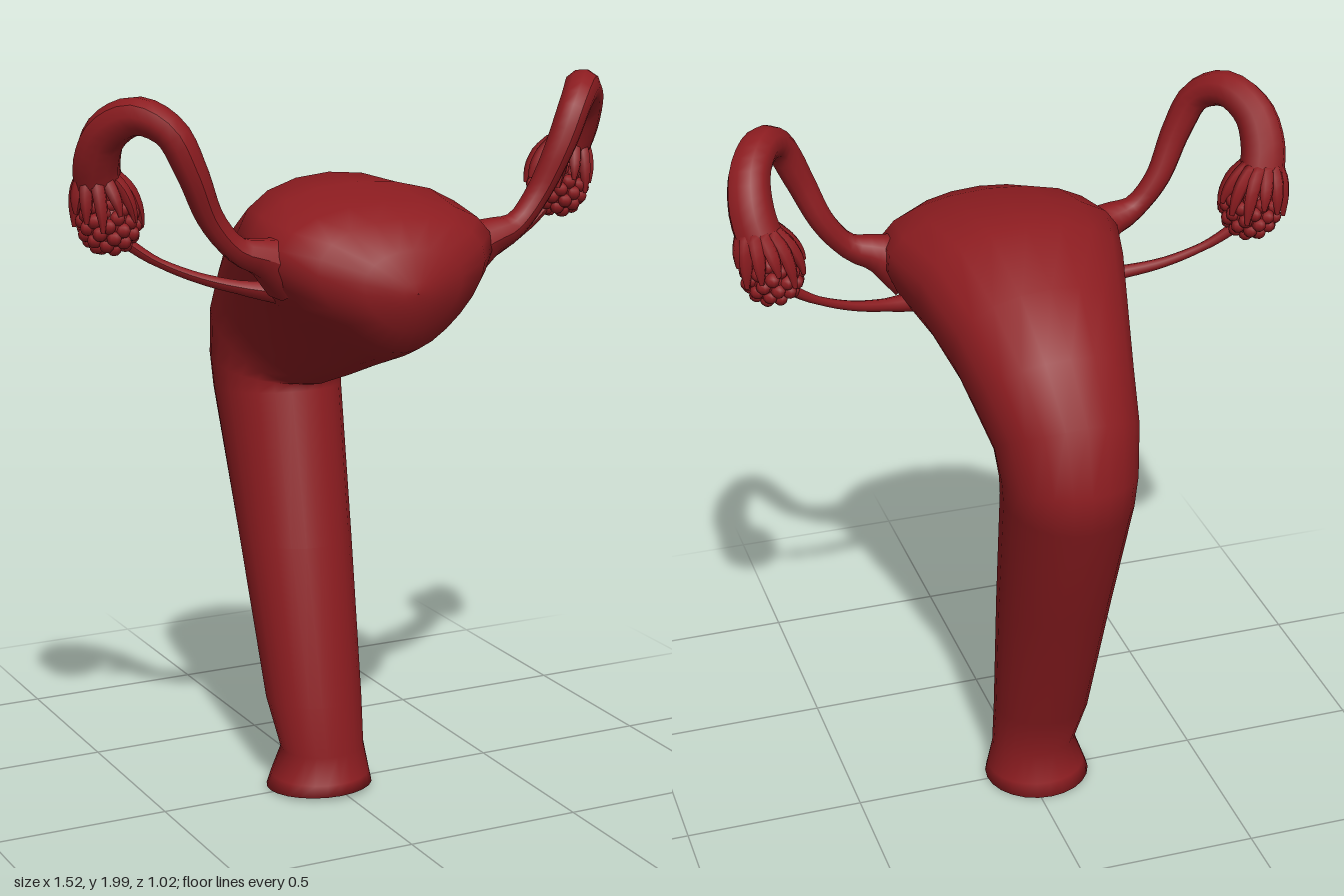
import * as THREE from 'three';

const material = new THREE.MeshStandardMaterial({ color: 0x8c1c20, roughness: 0.8, side: THREE.DoubleSide });

function add(parent, name, geometry) {
  const mesh = new THREE.Mesh(geometry, material);
  mesh.name = name;
  parent.add(mesh);
  return mesh;
}

// Body cross-sections: inner edge z, y; outer edge z, y; centre x; half width; flare toward outer edge
const BODY = [
  [-0.03, 0.55, -0.17, 0.55, -0.03, 0.05, 0],
  [0.07, 0.13, -0.07, 0.13, -0.02, 0.09, 0],
  [0.115, 0.025, -0.115, 0.015, -0.03, 0.125, 0],
  [0.14, 0.02, -0.14, 0.008, -0.03, 0.15, 0],
  [0.13, 0.05, -0.13, 0.05, -0.027, 0.14, 0],
  [0.10, 0.12, -0.10, 0.13, -0.02, 0.12, 0],
  [0.105, 0.27, -0.155, 0.27, -0.035, 0.135, 0],
  [0.0, 0.7, -0.325, 0.7, -0.025, 0.157, 0],
  [-0.10, 1.12, -0.495, 1.08, -0.015, 0.175, 0],
  [-0.11, 1.14, -0.508, 1.2, -0.012, 0.18, 0.05],
  [-0.09, 1.14, -0.465, 1.38, -0.01, 0.19, 0.15],
  [-0.05, 1.15, -0.36, 1.53, 0, 0.21, 0.25],
  [0.02, 1.175, -0.2, 1.65, 0, 0.24, 0.35],
  [0.12, 1.21, 0.0, 1.74, 0, 0.285, 0.45],
  [0.25, 1.26, 0.17, 1.738, 0, 0.325, 0.5],
  [0.36, 1.30, 0.33, 1.71, 0, 0.31, 0.45],
  [0.44, 1.335, 0.42, 1.68, 0, 0.24, 0.35],
  [0.49, 1.40, 0.485, 1.61, 0, 0.14, 0.2],
  [0.51, 1.47, 0.51, 1.53, 0, 0.04, 0],
  [0.512, 1.5, 0.512, 1.502, 0, 0.001, 0],
];

function bodyGeometry(sides = 24) {
  const positions = [], index = [];
  BODY.forEach(([az, ay, bz, by, cx, width, flare], i) => {
    // Scale so the flared section keeps its stated half width
    let peak = 0;
    for (let t = 0; t < Math.PI; t += 0.05) peak = Math.max(peak, Math.sin(t) * (1 + flare * Math.cos(t)));
    for (let j = 0; j < sides; j++) {
      const t = j / sides * Math.PI * 2, c = Math.cos(t);
      const f = (c + 1) / 2;
      positions.push(cx + width * Math.sin(t) * (1 + flare * c) / peak, ay + (by - ay) * f, az + (bz - az) * f);
      if (i < BODY.length - 1) {
        const a = i * sides + j, b = i * sides + (j + 1) % sides;
        index.push(a, a + sides, b, b, a + sides, b + sides);
      }
    }
  });
  const geometry = new THREE.BufferGeometry();
  geometry.setAttribute('position', new THREE.Float32BufferAttribute(positions, 3));
  geometry.setIndex(index);
  geometry.computeVertexNormals();
  return geometry;
}

// Tube whose radius follows a list of values along its length
function taperedTube(points, radii, steps = 32, sides = 10) {
  const curve = new THREE.CatmullRomCurve3(points.map(p => new THREE.Vector3(...p)));
  const geometry = new THREE.TubeGeometry(curve, steps, 1, sides);
  const position = geometry.attributes.position, v = new THREE.Vector3();
  for (let i = 0; i <= steps; i++) {
    const u = i / steps, centre = curve.getPointAt(u);
    const s = u * (radii.length - 1), k = Math.min(Math.floor(s), radii.length - 2);
    const radius = THREE.MathUtils.lerp(radii[k], radii[k + 1], s - k);
    for (let j = 0; j <= sides; j++) {
      const n = i * (sides + 1) + j;
      v.fromBufferAttribute(position, n).sub(centre).multiplyScalar(radius).add(centre);
      position.setXYZ(n, v.x, v.y, v.z);
    }
  }
  geometry.computeVertexNormals();
  return geometry;
}

function createSide(side) {
  const group = new THREE.Group();
  group.name = side > 0 ? 'leftAppendage' : 'rightAppendage';
  const flip = points => points.map(([x, y, z]) => [x * side, y, z]);

  // Arched tube from the upper corner of the body over to the ovary
  add(group, 'uterineTube', taperedTube(flip([
    [0.25, 1.55, 0.27], [0.33, 1.585, 0.29], [0.40, 1.61, 0.295], [0.47, 1.69, 0.295], [0.53, 1.82, 0.31],
    [0.58, 1.92, 0.295], [0.64, 1.955, 0.23], [0.69, 1.91, 0.155], [0.70, 1.83, 0.105], [0.685, 1.755, 0.075],
  ]), [0.09, 0.05, 0.032, 0.034, 0.038, 0.042, 0.044, 0.05, 0.055, 0.06, 0.062]));

  // Ovary with a lumpy surface
  const ovary = new THREE.Group();
  ovary.name = 'ovary';
  ovary.position.set(0.66 * side, 1.667, 0.08);
  group.add(ovary);
  add(ovary, 'ovaryCore', new THREE.SphereGeometry(0.072, 16, 12));
  const lump = new THREE.SphereGeometry(0.02, 8, 6);
  const count = 56;
  for (let i = 0; i < count; i++) {
    const y = 1 - 2 * (i + 0.5) / count, r = Math.sqrt(1 - y * y), a = i * 2.39996;
    add(ovary, 'ovaryLump', lump).position.set(r * Math.cos(a), y, r * Math.sin(a)).multiplyScalar(0.068);
  }

  // Fringe of fingers draped over the ovary
  for (let i = 0; i < 12; i++) {
    const a = i / 12 * Math.PI * 2, c = Math.cos(a), s = Math.sin(a);
    const drop = 0.02 * (i % 3);
    add(group, 'fimbria', taperedTube(flip([
      [0.687 + 0.04 * c, 1.79, 0.08 + 0.04 * s],
      [0.675 + 0.066 * c, 1.755, 0.077 + 0.068 * s],
      [0.665 + 0.082 * c, 1.715 - drop / 2, 0.077 + 0.085 * s],
      [0.662 + 0.086 * c, 1.695 - drop, 0.077 + 0.088 * s],
    ]), [0.02, 0.019, 0.016, 0.006], 8, 6));
  }

  // Thin ligament tying the ovary to the body
  add(group, 'ovarianLigament', taperedTube(flip([
    [0.62, 1.615, 0.085], [0.55, 1.565, 0.105], [0.44, 1.515, 0.135], [0.33, 1.485, 0.17], [0.24, 1.47, 0.20],
  ]), [0.016, 0.012, 0.014, 0.018, 0.03], 16, 8));
  return group;
}

export function createModel() {
  const model = new THREE.Group();
  model.name = 'uterusModel';
  add(model, 'uterusAndCanal', bodyGeometry());
  model.add(createSide(1), createSide(-1));
  return model;
}
